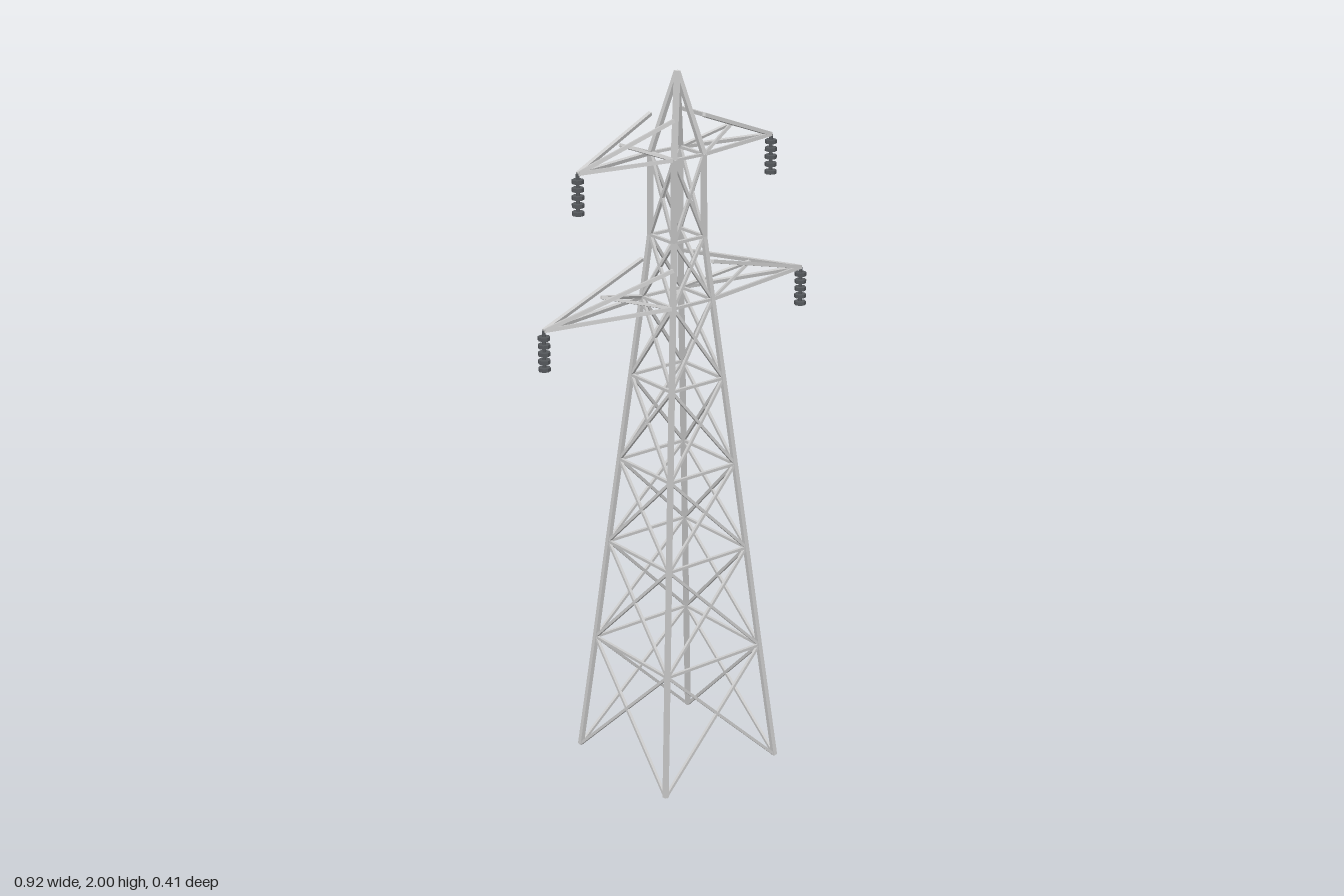
import * as THREE from 'three';

const steel = new THREE.MeshStandardMaterial({ color: 0xcccccc, flatShading: true });
const ceramic = new THREE.MeshStandardMaterial({ color: 0x55585c, flatShading: true });
const UP = new THREE.Vector3(0, 1, 0);
const V = (x, y, z) => new THREE.Vector3(x, y, z);

// Straight square steel member between two points
function bar(parent, name, a, b, width) {
  const d = b.clone().sub(a);
  const mesh = new THREE.Mesh(new THREE.BoxGeometry(width, d.length(), width), steel);
  mesh.position.copy(a).add(b).multiplyScalar(0.5);
  mesh.quaternion.setFromUnitVectors(UP, d.normalize());
  mesh.name = name;
  parent.add(mesh);
}

function section(parent, name) {
  const g = new THREE.Group();
  g.name = name;
  parent.add(g);
  return g;
}

const LEG = 0.0125, CHORD = 0.01, BRACE = 0.008;

// Tower levels: [height, half width]
const levels = [
  [0.003, 0.199], [0.352, 0.165], [0.652, 0.137], [0.902, 0.113],
  [1.152, 0.089], [1.377, 0.067], [1.552, 0.051], [1.777, 0.05],
];
const corners = [[1, 1], [-1, 1], [-1, -1], [1, -1]];
const corner = ([y, w], i) => V(corners[i % 4][0] * w, y, corners[i % 4][1] * w);

// One turned part of an insulator string
function turned(parent, name, x, y, radius, height) {
  const mesh = new THREE.Mesh(new THREE.CylinderGeometry(radius, radius, height, 8), ceramic);
  mesh.position.set(x, y, 0);
  mesh.name = name;
  parent.add(mesh);
}

// Hanging insulator string with stacked discs
function insulator(parent, x, y) {
  const g = section(parent, 'insulator');
  turned(g, 'insulatorRod', x, y - 0.056, 0.005, 0.112);
  for (let i = 0; i < 5; i++) turned(g, 'insulatorDisc', x, y - 0.02 - i * 0.0212, 0.0165, 0.01);
}

// Triangular cross-arm reaching out along x
function crossArm(parent, side, y, root, reach) {
  const g = section(parent, side > 0 ? 'leftArm' : 'rightArm');
  const tip = V(side * reach, y, 0);
  const middle = V(side * (root + reach) / 2, y + 0.053, 0);
  for (const s of [1, -1]) {
    const low = V(side * root, y, s * root);
    const high = V(side * root, y + 0.106, s * root);
    bar(g, 'lowerChord', low, tip, CHORD);
    bar(g, 'upperChord', high, tip, CHORD);
    bar(g, 'armStrut', low, middle, BRACE);
  }
  insulator(g, side * reach, y);
}

export function createModel() {
  const model = new THREE.Group();
  model.name = 'latticeTower';

  const legs = section(model, 'legs');
  const bracing = section(model, 'bracing');
  const peak = section(model, 'peak');

  for (let i = 0; i < 4; i++) {
    // Legs and crossed bracing, panel by panel
    for (let k = 0; k < levels.length - 1; k++) {
      const lo = levels[k], hi = levels[k + 1];
      bar(legs, 'leg', corner(lo, i), corner(hi, i), LEG);
      bar(bracing, 'diagonal', corner(lo, i), corner(hi, i + 1), BRACE);
      bar(bracing, 'diagonal', corner(lo, i + 1), corner(hi, i), BRACE);
      bar(bracing, 'horizontal', corner(hi, i), corner(hi, i + 1), BRACE);
    }
    // Pyramid at the top
    bar(peak, 'peakLeg', corner(levels[7], i), V(0, 1.997, 0), LEG);
  }

  for (const side of [1, -1]) {
    crossArm(model, side, 1.777, 0.05, 0.325);
    crossArm(model, side, 1.377, 0.067, 0.441);
  }
  return model;
}
